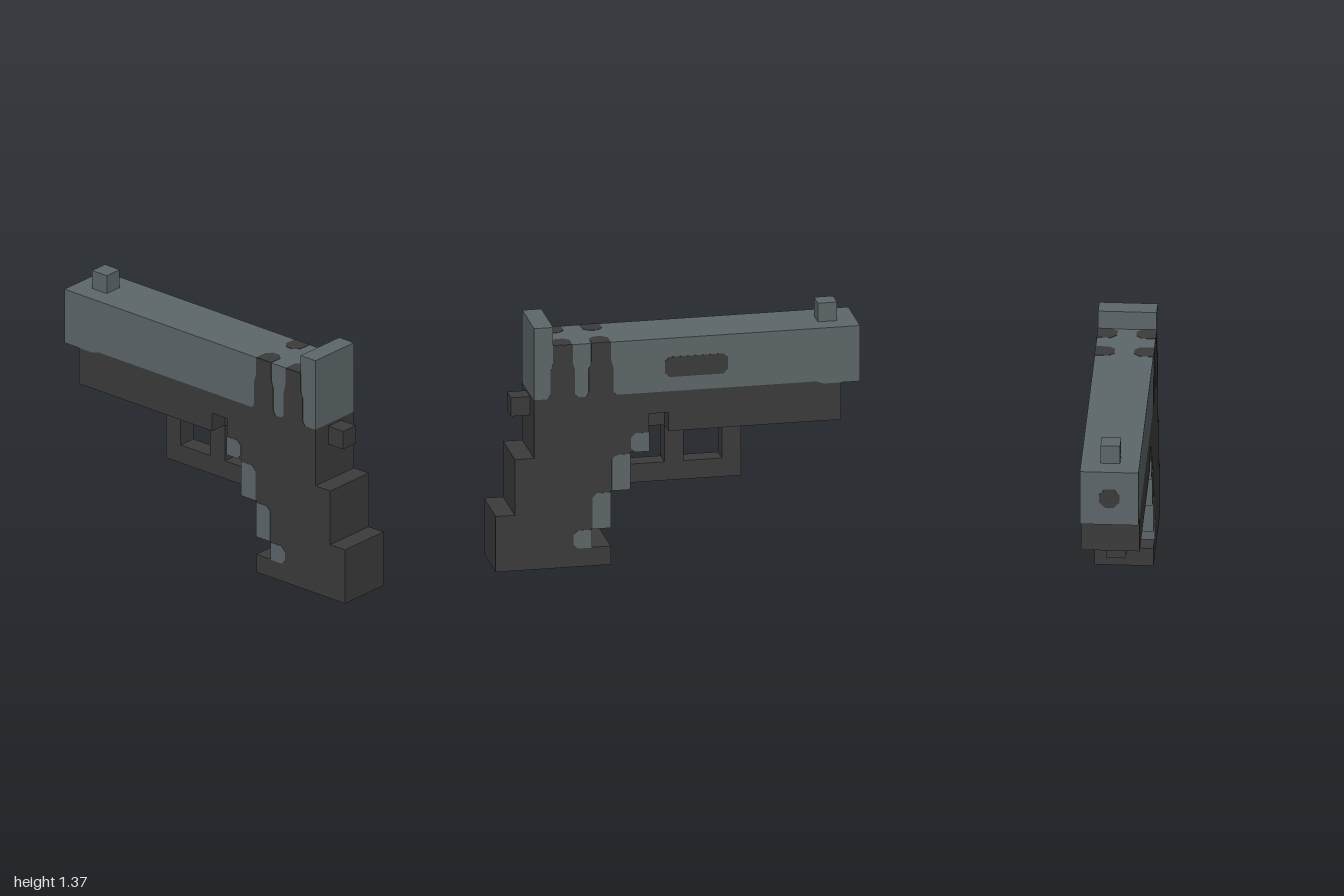
import * as THREE from 'three';

const U = 2 / 19;       // block size
const H = 1.5 * U;      // half width
const E = 0.002;        // plate offset

export function createModel() {
  const group = new THREE.Group();
  const steel = new THREE.MeshStandardMaterial({ color: 0x5d6669 });
  steel.name = 'steel grey';
  const black = new THREE.MeshStandardMaterial({ color: 0x3b3b3b });
  black.name = 'charcoal';

  const add = (name, geo, mat) => {
    const mesh = new THREE.Mesh(geo, mat);
    mesh.name = name;
    group.add(mesh);
    return mesh;
  };
  // Side profile of [z, y] points, extruded from x0 to x1
  const profile = (name, pts, x0, x1, mat) => {
    const shape = new THREE.Shape(pts.map(p => new THREE.Vector2(p[0], p[1])));
    const geo = new THREE.ExtrudeGeometry(shape, { depth: x1 - x0, bevelEnabled: false });
    geo.rotateY(-Math.PI / 2).translate(x1, 0, 0);
    return add(name, geo, mat);
  };
  // Box from x half width and z, y ranges
  const block = (name, hw, z0, z1, y0, y1, mat) => add(name,
    new THREE.BoxGeometry(hw * 2, y1 - y0, z1 - z0).translate(0, (y0 + y1) / 2, (z0 + z1) / 2), mat);

  // Slide with full-width rear sight
  profile('slide', [
    [-1, 9 * U], [-0.8, 9 * U], [-0.76, 0.962], [7.5 * U, 0.962], [7.5 * U, 13 * U],
    [6.5 * U, 13 * U], [6.5 * U, 12 * U], [-1, 12 * U],
  ], -H, H, steel);
  block('frontSight', U / 2, -8.5 * U, -7.5 * U, 12 * U, 13 * U, steel);

  // Frame and stepped grip: outer layers have a notch above the trigger
  const grip = [
    [1.5 * U, 7 * U], [1.5 * U, 6 * U], [2.5 * U, 6 * U], [2.5 * U, 4 * U],
    [3.5 * U, 4 * U], [3.5 * U, 2 * U], [4.5 * U, 2 * U], [4.5 * U, U],
    [3.5 * U, U], [3.5 * U, 0], [1, 0], [1, 3 * U], [8.5 * U, 3 * U],
    [8.5 * U, 6 * U], [7.5 * U, 6 * U], [7.5 * U, 0.962], [-0.76, 0.962],
    [-0.8, 9 * U], [-8.5 * U, 9 * U], [-8.5 * U, 7 * U],
  ];
  const notch = [[0.5 * U, 7 * U], [0.5 * U, 8 * U], [1.5 * U, 8 * U]];
  profile('frameCore', grip, -U / 2, U / 2, black);
  profile('frameLeft', [...grip, ...notch], U / 2, H, black);
  profile('frameRight', [...grip, ...notch], -H, -U / 2, black);
  block('hammer', U / 2, 7.5 * U, 8.5 * U, 8 * U, 9 * U, black);

  // Trigger and guard
  block('trigger', U / 2, -0.5 * U, 0.5 * U, 5 * U, 7 * U, black);
  block('guardBottom', U / 2, -3.5 * U, 2.5 * U, 4 * U, 5 * U, black);
  block('guardPost', U / 2, -3.5 * U, -2.5 * U, 5 * U, 7 * U, black);

  // Grey finger steps down the front of the grip: [front z, bottom y, top y, chamfer at bottom]
  const c = 0.025;
  for (const [z, y0, y1, low] of [
    [1.5 * U, 6 * U, 7 * U, 1], [2.5 * U, 4 * U, 6 * U - 0.01, 0],
    [3.5 * U, 2 * U, 4 * U - 0.01, 0], [4.5 * U, U, 2 * U - 0.005, 1],
  ]) {
    const b = z + U - 0.005, f = z - E, y = y0 - E;
    const base = low ? [[b - c, y], [b, y + c]] : [[b, y]];
    profile('gripStep', [[f, y], ...base, [b, y1 - c], [b - c, y1], [f, y1]], -H - E, H + E, steel);
  }

  // Dark serrations on both sides, wrapping onto the top
  for (const z of [3.5 * U, 5.5 * U]) {
    const a = z - 0.002, b = z + U + 0.002;
    const pts = [
      [a - 0.03, 0.962], [b + 0.03, 0.962], [b + 0.014, 0.985], [b + 0.014, 1.12], [b, 1.16],
      [b, 12 * U], [a, 12 * U], [a, 1.16], [a - 0.012, 1.12], [a - 0.012, 0.985],
    ];
    for (const s of [-1, 1]) {
      profile('serration', pts, s > 0 ? H : -H - E, s > 0 ? H + E : -H, black);
      const patch = new THREE.Shape([
        [H, -z], [U / 2 + 0.03, -z], [U / 2, -z - 0.03],
        [U / 2, -z - U + 0.03], [U / 2 + 0.03, -z - U], [H, -z - U],
      ].map(([x, y]) => new THREE.Vector2(s * x, y)));
      const geo = new THREE.ExtrudeGeometry(patch, { depth: E, bevelEnabled: false });
      geo.rotateX(-Math.PI / 2).translate(0, 12 * U, 0);
      add('serrationTop', geo, black);
    }
  }

  // Ejection port on the left side only
  const p0 = -0.275, p1 = 0.072, q0 = 1.043, q1 = 1.157;
  profile('ejectionPort', [
    [p0 + c, q0], [p1 - c, q0], [p1, q0 + c], [p1, q1 - c],
    [p1 - c, q1], [p0 + c, q1], [p0, q1 - c], [p0, q0 + c],
  ], H, H + E, black);

  // Bore on the muzzle face
  const bore = new THREE.CylinderGeometry(0.06, 0.06, E, 8);
  bore.rotateY(Math.PI / 8).rotateX(Math.PI / 2).translate(0, 10.5 * U, -1 - E / 2);
  add('bore', bore, black);

  return group;
}
